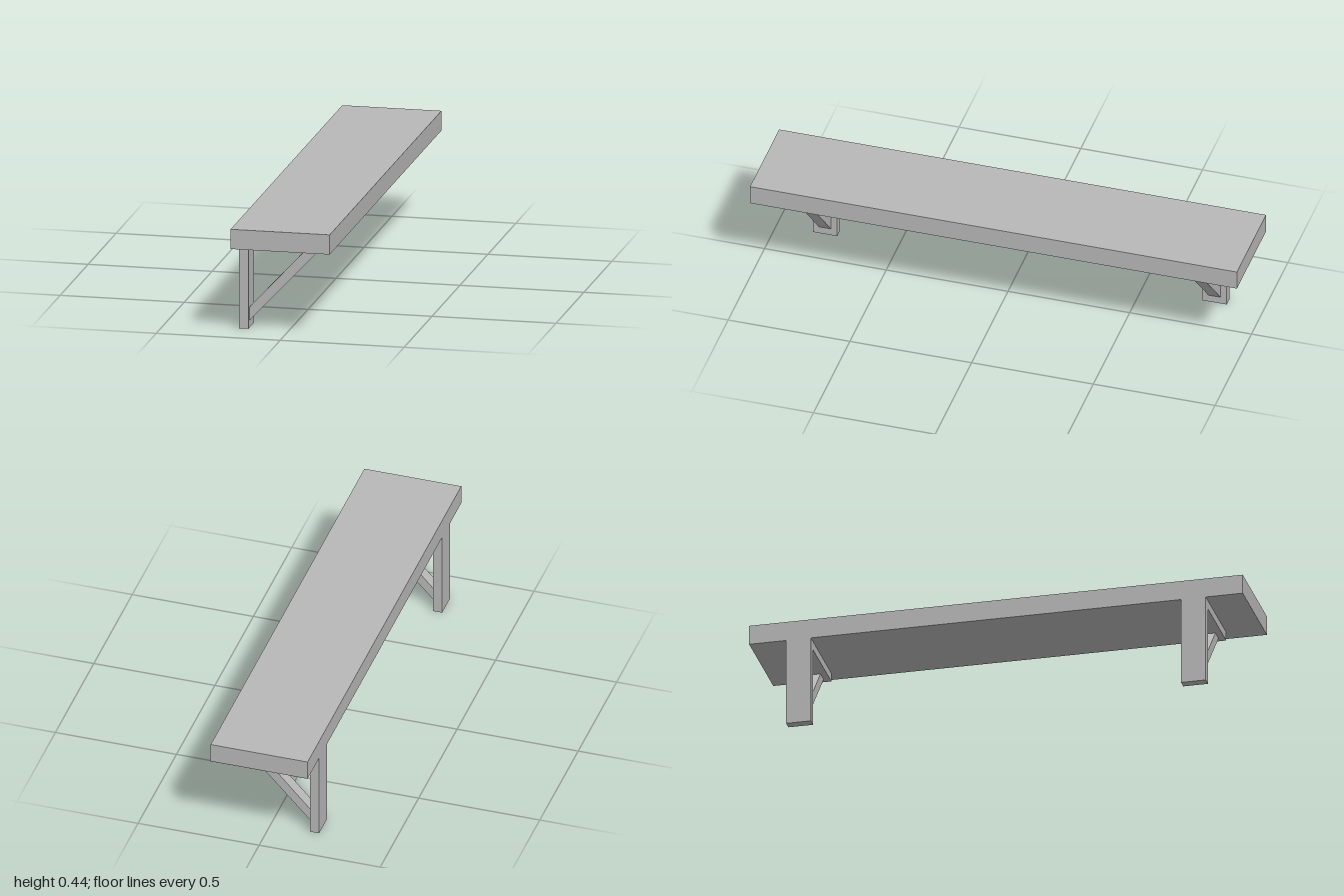
import * as THREE from 'three';

export function createModel() {
  const model = new THREE.Group();
  model.name = 'wallShelf';
  const grey = new THREE.MeshStandardMaterial({ color: 0xb8b8b8 });
  grey.name = 'plain grey';

  // Box given by its x and y extents, centred on z = 0
  function slab(name, x0, x1, y0, y1, depth) {
    const mesh = new THREE.Mesh(new THREE.BoxGeometry(x1 - x0, y1 - y0, depth), grey);
    mesh.name = name;
    mesh.position.set((x0 + x1) / 2, (y0 + y1) / 2, 0);
    return mesh;
  }

  // Long thick board
  model.add(slab('shelfBoard', -0.2, 0.2, 0.36, 0.44, 2));

  // Diagonal brace, mitred flush against the upright and the arm
  const braceShape = new THREE.Shape([
    new THREE.Vector2(-0.162, 0.03),
    new THREE.Vector2(0.115, 0.325),
    new THREE.Vector2(0.062, 0.325),
    new THREE.Vector2(-0.162, 0.083),
  ]);
  const braceGeometry = new THREE.ExtrudeGeometry(braceShape, { depth: 0.05, bevelEnabled: false });
  braceGeometry.translate(0, 0, -0.025);

  // Two matching brackets: wall upright, arm under the board, brace
  for (const [name, z] of [['frontBracket', 0.8], ['backBracket', -0.8]]) {
    const bracket = new THREE.Group();
    bracket.name = name;
    bracket.position.z = z;
    const brace = new THREE.Mesh(braceGeometry, grey);
    brace.name = 'brace';
    bracket.add(
      slab('upright', -0.2, -0.162, 0, 0.36, 0.1),
      slab('arm', -0.162, 0.14, 0.325, 0.36, 0.1),
      brace,
    );
    model.add(bracket);
  }
  return model;
}
